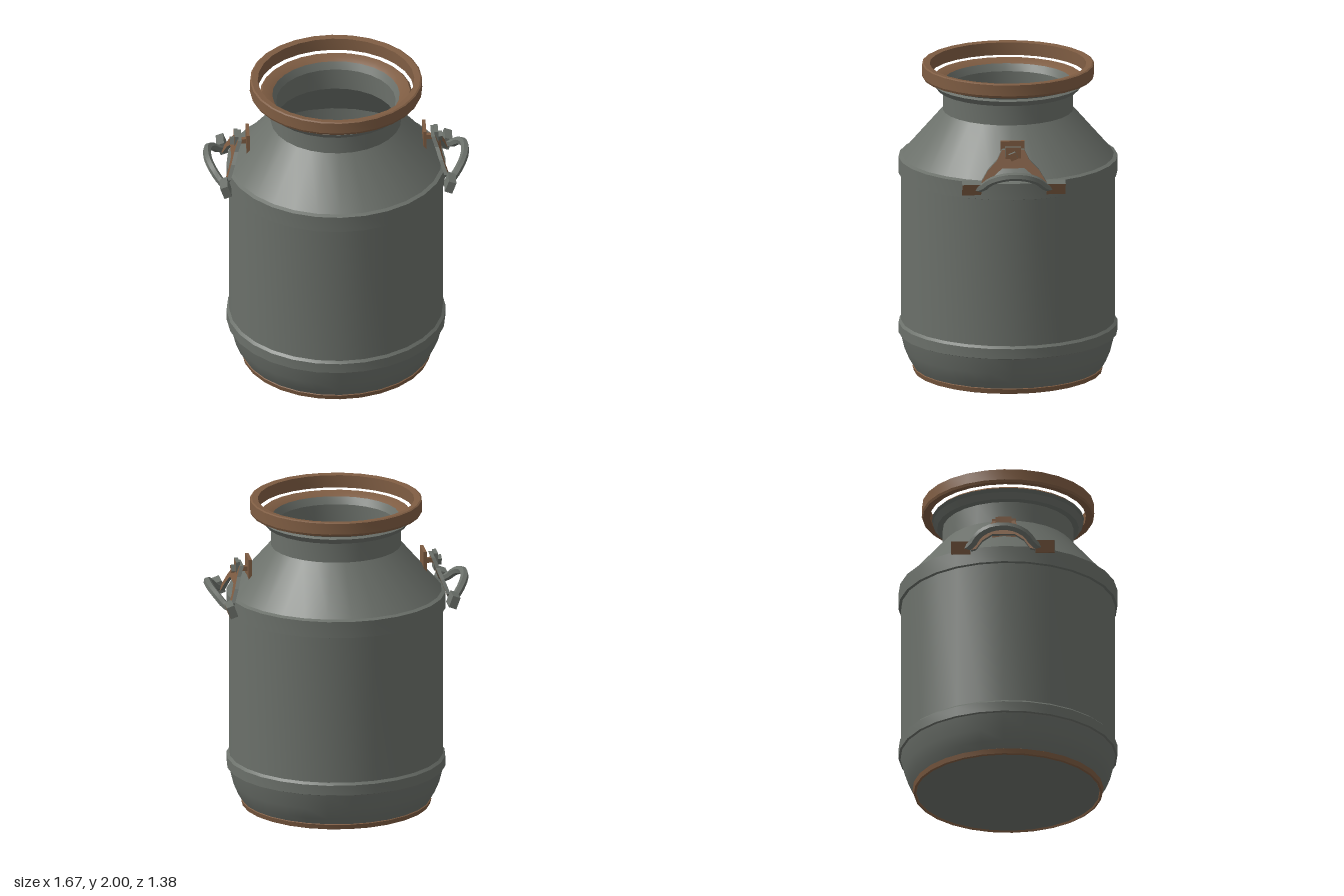
import * as THREE from 'three';
import { toCreasedNormals } from 'three/addons/utils/BufferGeometryUtils.js';

const SIDES = 28;

export function createModel() {
  const root = new THREE.Group();
  root.name = 'milkCan';
  const steel = new THREE.MeshStandardMaterial({ color: 0x6b706a });
  steel.name = 'dull steel';
  const rust = new THREE.MeshStandardMaterial({ color: 0x7e5c42 });
  rust.name = 'rust';

  const add = (parent, name, geometry, material) => {
    const mesh = new THREE.Mesh(geometry, material);
    mesh.name = name;
    parent.add(mesh);
    return mesh;
  };
  // Turned part: profile runs up the outside and down the inside
  const turned = (name, profile, material) => {
    const points = profile.map(([r, y]) => new THREE.Vector2(r, y));
    const geometry = new THREE.LatheGeometry(points, SIDES);
    return add(root, name, toCreasedNormals(geometry, 0.4), material);
  };

  // Can body, from the underside up and round the base curve
  turned('base', [[0, 0.012], [0.58, 0.012]], steel);
  turned('baseRim', [[0.575, 0.012], [0.58, 0], [0.592, 0.005], [0.6, 0.035], [0.59, 0.04]], rust);
  turned('outerShell', [
    [0.592, 0.035], [0.62, 0.08], [0.65, 0.15], [0.675, 0.25],
    [0.688, 0.255], [0.688, 0.32], [0.672, 0.335],
    [0.672, 1.285], [0.688, 1.29], [0.688, 1.395], [0.665, 1.405],
    [0.41, 1.7], [0.41, 1.83], [0.445, 1.835], [0.472, 1.87], [0.45, 1.88], [0.478, 1.895],
  ], steel);
  turned('lip', [[0.478, 1.895], [0.465, 1.908], [0.43, 1.9], [0.4, 1.885]], rust);
  turned('innerShell', [
    [0.4, 1.885], [0.375, 1.84], [0.375, 1.7], [0.64, 1.395], [0.645, 0.3],
    [0.62, 0.15], [0.575, 0.05], [0, 0.05],
  ], steel);

  // Broad ring around the mouth
  turned('mouthRing', [
    [0.49, 1.915], [0.535, 1.91], [0.542, 1.925], [0.54, 1.995],
    [0.53, 2], [0.492, 1.995], [0.49, 1.915],
  ], rust);

  // Rust streak across the inside floor
  const streak = new THREE.Shape([
    [-0.11, -0.36], [-0.06, -0.36], [-0.01, -0.17], [0.035, 0], [0.08, 0.16],
    [0.07, 0.18], [0.02, 0.05], [-0.02, -0.05],
  ].map(([x, y]) => new THREE.Vector2(x, y)));
  add(root, 'floorStreak', new THREE.ShapeGeometry(streak).rotateX(-Math.PI / 2).translate(0, 0.055, 0), rust);

  // Box with rust on its outward and lower faces
  const weathered = [rust, steel, steel, rust, steel, steel];
  const box = (parent, name, size, position, material) => {
    const mesh = add(parent, name, new THREE.BoxGeometry(...size), material);
    mesh.position.set(...position);
    return mesh;
  };

  // Leaning arched bracket: drawn as z/y outline, then sheared outward
  const half = [[0.07, 1.6], [0.1, 1.54], [0.16, 1.48], [0.21, 1.4], [0.2, 1.36],
    [0.17, 1.37], [0.13, 1.44], [0.07, 1.49]];
  const outline = [...half, ...half.map(([z, y]) => [-z, y]).reverse()];
  const bracketShape = new THREE.Shape(outline.map(([z, y]) => new THREE.Vector2(z, y)));
  const bracketGeometry = new THREE.ExtrudeGeometry(bracketShape, { depth: 0.025, bevelEnabled: false });
  bracketGeometry.rotateY(Math.PI / 2);
  const p = bracketGeometry.attributes.position;
  for (let i = 0; i < p.count; i++) {
    p.setX(i, p.getX(i) + 0.595 + (1.6 - p.getY(i)) * 0.38);
  }
  bracketGeometry.computeVertexNormals();

  // Swinging handle bar
  const path = new THREE.CatmullRomCurve3([
    [0.7, 1.375, 0.24], [0.73, 1.385, 0.2], [0.775, 1.435, 0.15], [0.805, 1.468, 0.07],
    [0.81, 1.475, 0],
    [0.805, 1.468, -0.07], [0.775, 1.435, -0.15], [0.73, 1.385, -0.2], [0.7, 1.375, -0.24],
  ].map((v) => new THREE.Vector3(...v)));
  const barGeometry = toCreasedNormals(new THREE.TubeGeometry(path, 16, 0.026, 6), 0.5);

  // One handle assembly per side, turned half way round for the right
  for (const side of ['left', 'right']) {
    const handle = new THREE.Group();
    handle.name = side + 'Handle';
    handle.rotation.y = side === 'left' ? 0 : Math.PI;
    root.add(handle);
    box(handle, 'mountingPlate', [0.02, 0.14, 0.15], [0.555, 1.57, 0], rust);
    add(handle, 'bracket', bracketGeometry, [rust, steel]);
    box(handle, 'bracketPad', [0.025, 0.11, 0.1], [0.628, 1.565, 0], weathered);
    const bolt = box(handle, 'bolt', [0.035, 0.045, 0.045], [0.65, 1.565, 0], weathered);
    bolt.rotation.x = 0.4;
    box(handle, 'boltShank', [0.08, 0.03, 0.03], [0.59, 1.565, 0], rust);
    add(handle, 'handleBar', barGeometry, steel);
    for (const s of [1, -1]) {
      const end = box(handle, 'pivotEnd', [0.05, 0.078, 0.12], [0.705, 1.378, s * 0.265], weathered);
      end.rotation.z = -0.35;
    }
  }
  return root;
}
